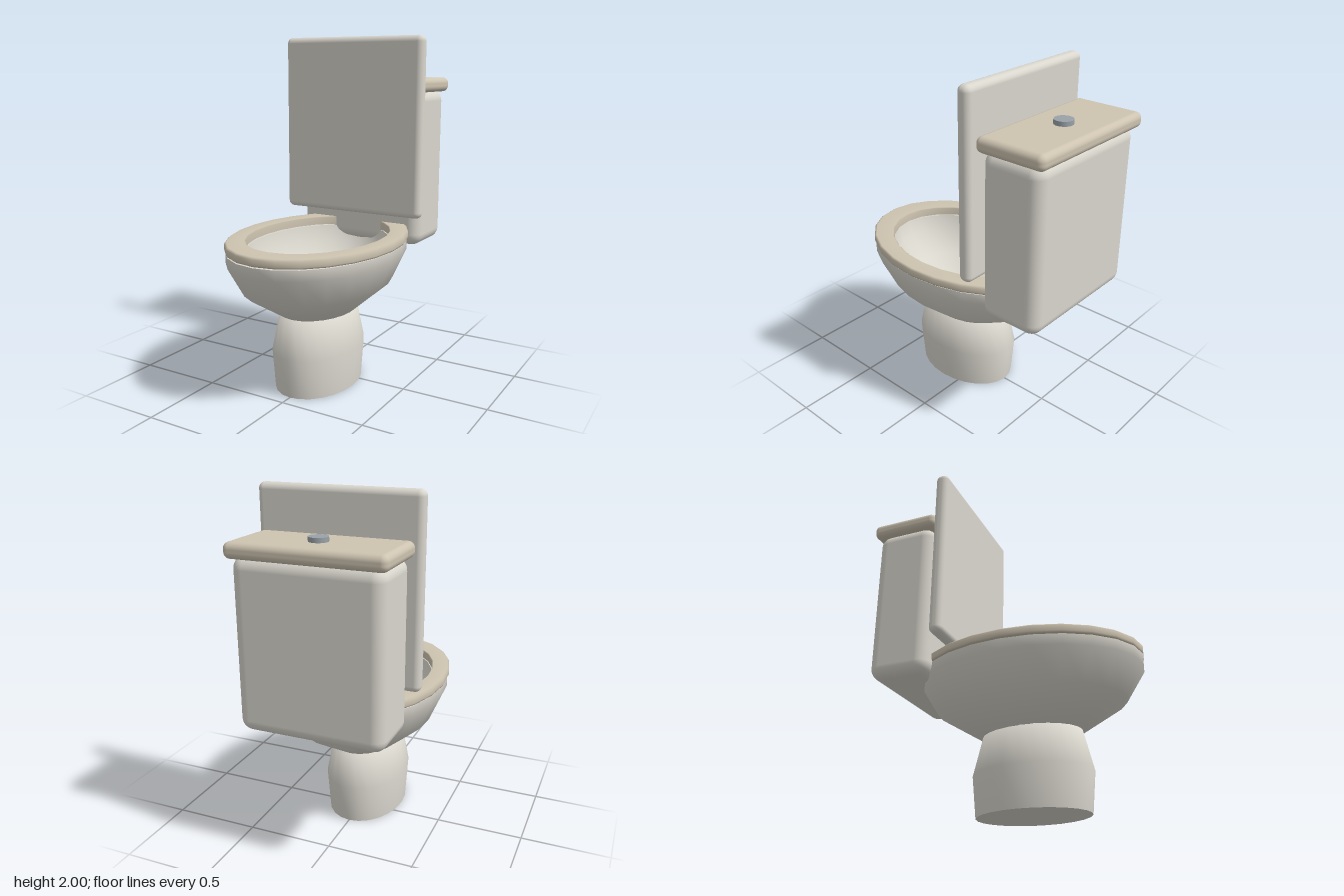
import * as THREE from 'three';
import { RoundedBoxGeometry } from 'three/addons/geometries/RoundedBoxGeometry.js';

const ceramic = new THREE.MeshStandardMaterial({ color: 0xd9d6cd });
const trim = new THREE.MeshStandardMaterial({ color: 0xcdc3b0 });
const metal = new THREE.MeshStandardMaterial({ color: 0x9aa2a8 });

export function createModel() {
  const model = new THREE.Group();

  function add(name, geometry, material, x, y, z) {
    const mesh = new THREE.Mesh(geometry, material);
    mesh.name = name;
    mesh.position.set(x, y, z);
    model.add(mesh);
    return mesh;
  }

  // Lathe stretched front to back into an oval
  function oval(name, profile, material, stretch) {
    const points = profile.map(([r, y]) => new THREE.Vector2(r, y));
    const mesh = add(name, new THREE.LatheGeometry(points, 24), material, 0, 0, 0.1);
    mesh.scale.z = stretch;
    return mesh;
  }

  // Rounded box given by its extents in y and z
  function slab(name, width, [y0, y1], [z0, z1], radius, material) {
    const geometry = new RoundedBoxGeometry(width, y1 - y0, z1 - z0, 4, radius);
    return add(name, geometry, material, 0, (y0 + y1) / 2, (z0 + z1) / 2);
  }

  // Pedestal; the repeated point keeps the foot edge sharp
  oval('pedestal', [[0, 0], [0.225, 0], [0.225, 0], [0.24, 0.23], [0.2, 0.45], [0, 0.46]], ceramic, 1.41)
    .position.z = 0.11;

  // Bowl: outside up to the rim, then down the inside
  oval('bowl', [
    [0, 0.44], [0.2, 0.44], [0.385, 0.6], [0.46, 0.77], [0.46, 0.83], [0.46, 0.83],
    [0.365, 0.83], [0.365, 0.83], [0.345, 0.74], [0.27, 0.61], [0.07, 0.5], [0, 0.5],
  ], ceramic, 1.41);

  // Seat ring
  oval('seat', [
    [0.37, 0.835], [0.465, 0.835], [0.47, 0.845], [0.47, 0.875], [0.46, 0.885],
    [0.375, 0.885], [0.37, 0.88], [0.37, 0.835],
  ], trim, 1.385);

  // Raised seat cover, cistern and its lid
  slab('seatCover', 0.92, [0.945, 2], [-0.33, -0.25], 0.035, ceramic);
  slab('cistern', 0.82, [0.75, 1.69], [-0.725, -0.36], 0.07, ceramic);
  slab('cisternLid', 0.86, [1.675, 1.76], [-0.75, -0.34], 0.035, trim);

  // Flush button
  add('flushButton', new THREE.CylinderGeometry(0.052, 0.052, 0.04, 24), metal, 0, 1.765, -0.55);

  return model;
}
